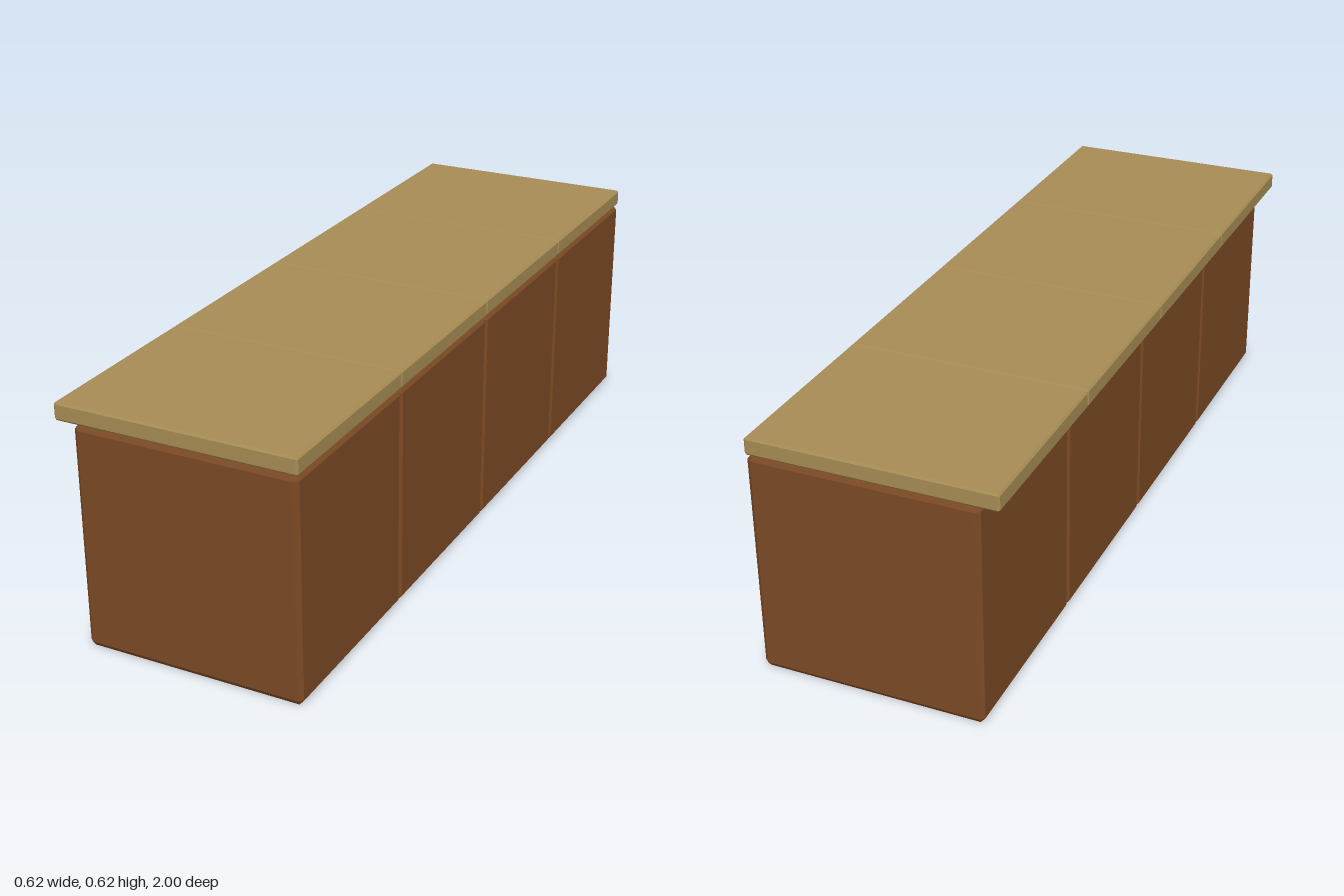
import * as THREE from 'three';
import { ConvexGeometry } from 'three/addons/geometries/ConvexGeometry.js';

// Box between two corners with every edge bevelled by (bx, by, bz)
function bevelledBox([x0, y0, z0], [x1, y1, z1], [bx, by, bz]) {
  const c = [(x0 + x1) / 2, (y0 + y1) / 2, (z0 + z1) / 2];
  const h = [(x1 - x0) / 2, (y1 - y0) / 2, (z1 - z0) / 2];
  const b = [bx, by, bz];
  const points = [];
  for (const sx of [-1, 1]) for (const sy of [-1, 1]) for (const sz of [-1, 1]) {
    const s = [sx, sy, sz];
    // each corner becomes three points, one per face
    for (let face = 0; face < 3; face++) {
      const p = s.map((sign, i) => c[i] + sign * (h[i] - (i === face ? 0 : b[i])));
      points.push(new THREE.Vector3(...p));
    }
  }
  return new ConvexGeometry(points);
}

export function createModel() {
  const wood = new THREE.MeshStandardMaterial({ color: 0x7a4924 });
  wood.name = 'brown wood';
  const worktop = new THREE.MeshStandardMaterial({ color: 0xa68b54 });
  worktop.name = 'tan worktop';

  const model = new THREE.Group();
  model.name = 'counter';

  // Four identical units in a row, worktops overhanging on the -x side
  for (let i = 0; i < 4; i++) {
    const z0 = -1 + i * 0.5, z1 = z0 + 0.5;
    const unit = new THREE.Group();
    unit.name = `counterUnit${i + 1}`;

    const cabinet = new THREE.Mesh(
      bevelledBox([-0.263, 0, z0], [0.31, 0.579, z1], [0.012, 0.014, 0.01]), wood);
    cabinet.name = 'cabinet';

    const slab = new THREE.Mesh(
      bevelledBox([-0.311, 0.579, z0], [0.311, 0.624, z1], [0.005, 0.005, 0.004]), worktop);
    slab.name = 'worktop';

    unit.add(cabinet, slab);
    model.add(unit);
  }
  return model;
}
